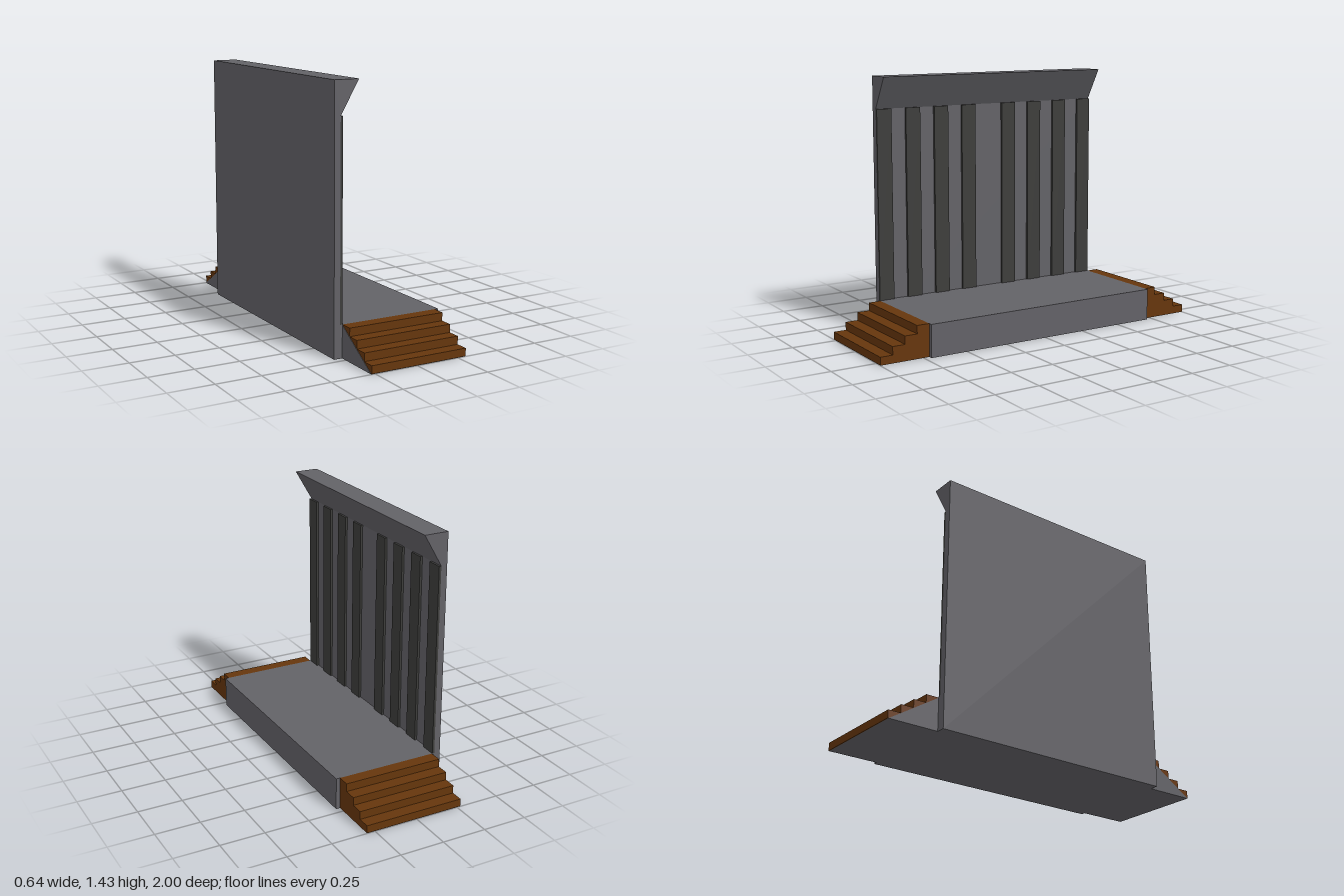
import * as THREE from 'three';

const mat = (color) => new THREE.MeshStandardMaterial({ color, flatShading: true });

// Extrude a closed outline of [u, v] points
function extrude(points, depth) {
  const shape = new THREE.Shape(points.map(([u, v]) => new THREE.Vector2(u, v)));
  return new THREE.ExtrudeGeometry(shape, { depth, bevelEnabled: false });
}

// Extrude a (z, y) outline across x, from x0 to x1
function extrudeAcross(points, x0, x1) {
  return extrude(points, x1 - x0).rotateY(-Math.PI / 2).translate(x1, 0, 0);
}

export function createModel() {
  const group = new THREE.Group();
  const stone = mat(0x636267);
  const dark = mat(0x3d3d3b);
  const wood = mat(0x66360c);

  const add = (name, geometry, material) => {
    const mesh = new THREE.Mesh(geometry, material);
    mesh.name = name;
    group.add(mesh);
  };
  const box = (x0, x1, y0, y1, z0, z1) =>
    new THREE.BoxGeometry(x1 - x0, y1 - y0, z1 - z0)
      .translate((x0 + x1) / 2, (y0 + y1) / 2, (z0 + z1) / 2);

  const half = 0.715;      // half length of platform and wall
  const floor = 0.18;      // platform height
  const wallX = -0.285;    // inner face of the wall
  const eave = 1.25;       // underside of the cornice

  // Platform
  add('platform', box(wallX, 0.32, 0, floor, -half, half), stone);

  // Back wall with its overhanging sloped cornice
  const wall = [[-0.32, 0], [wallX, 0], [wallX, eave], [-0.18, 1.43], [-0.32, 1.43]];
  add('backWall', extrude(wall, 2 * half).translate(0, 0, -half), stone);

  // Dark vertical slats, four on each side of the wider middle gap
  const slat = half / 8;
  for (const side of [1, -1]) {
    for (let i = 0; i < 4; i++) {
      const z = side * slat * (1.5 + 2 * i);
      add('wallSlat', box(wallX, -0.272, floor, eave, z - slat / 2, z + slat / 2), dark);
    }
  }

  // Stairs at both ends, each over a grey wedge-shaped base
  const steps = 4, run = (1 - half) / steps, rise = floor / steps;
  for (const side of [1, -1]) {
    const outline = [[side * half, 0.002], [side, 0.002]];
    for (let i = 0; i < steps; i++) {
      const z = side * (1 - i * run);
      outline.push([z, (i + 1) * rise], [z - side * run, (i + 1) * rise]);
    }
    add('stairs', extrudeAcross(outline, -0.27, 0.298), wood);

    const wedge = [[side * half, 0], [side * 0.998, 0], [side * half, floor - 0.002]];
    add('stairBase', extrudeAcross(wedge, -0.272, 0.296), stone);
  }
  return group;
}
